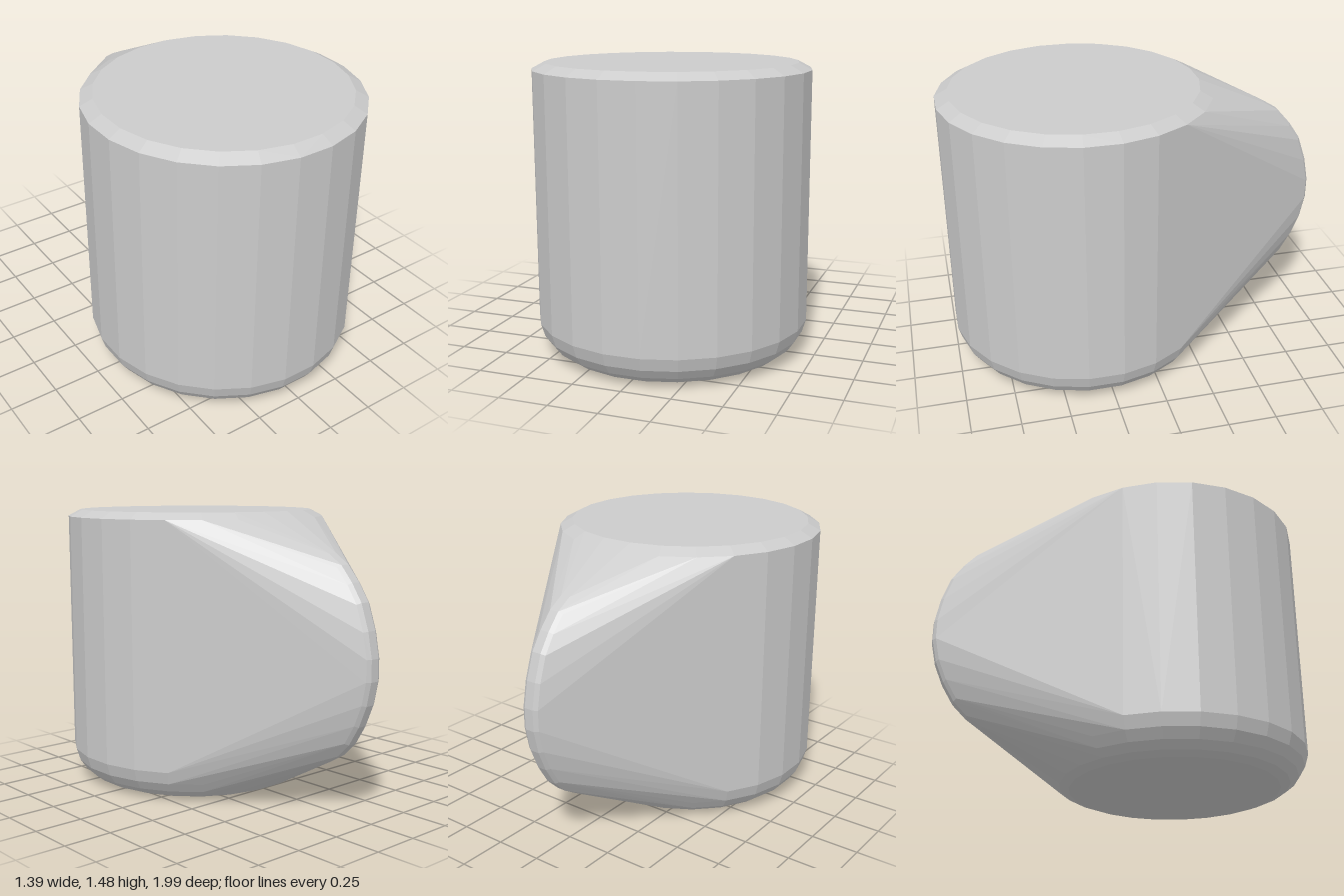
import * as THREE from 'three';
import { ConvexGeometry } from 'three/addons/geometries/ConvexGeometry.js';

const SIDES = 24;
const BODY_Z = 0.3;

// Horizontal ring of points around the body's axis
function ring(radius, y) {
  return Array.from({ length: SIDES }, (_, i) => {
    const a = ((i + 0.5) / SIDES) * Math.PI * 2;
    return new THREE.Vector3(Math.sin(a) * radius, y, BODY_Z + Math.cos(a) * radius);
  });
}

export function createModel() {
  const group = new THREE.Group();
  const points = [];

  // Round body: [radius, height], with rounded base and bevelled rim
  const profile = [[0.55, 0], [0.6, 0.02], [0.645, 0.055], [0.68, 0.105], [0.7, 0.17], [0.7, 1.445], [0.635, 1.48]];
  for (const [radius, y] of profile) points.push(...ring(radius, y));

  // Back ridge: [z, y] along the outer edge of a narrow rounded arc
  const arc = [
    [-0.72, 1.29], [-0.8, 1.24], [-0.87, 1.16], [-0.93, 1.07], [-0.975, 0.94], [-1, 0.81],
    [-1, 0.7], [-0.975, 0.58], [-0.93, 0.47], [-0.87, 0.37], [-0.8, 0.3], [-0.72, 0.25],
  ];
  // Ridge cross-section: [half width, distance inwards]
  const section = [[0.025, 0], [0.046, 0.014], [0.058, 0.04]];
  const centre = new THREE.Vector2(-0.45, 0.77);
  for (const [z, y] of arc) {
    const inward = centre.clone().sub(new THREE.Vector2(z, y)).normalize();
    for (const [w, d] of section) {
      for (const side of [-1, 1]) {
        points.push(new THREE.Vector3(side * w, y + inward.y * d, z + inward.x * d));
      }
    }
  }

  // One faceted skin stretched over body and ridge
  const body = new THREE.Mesh(
    new ConvexGeometry(points),
    new THREE.MeshStandardMaterial({ color: 0xcccccc, flatShading: true })
  );
  body.name = 'body';
  group.add(body);
  return group;
}
